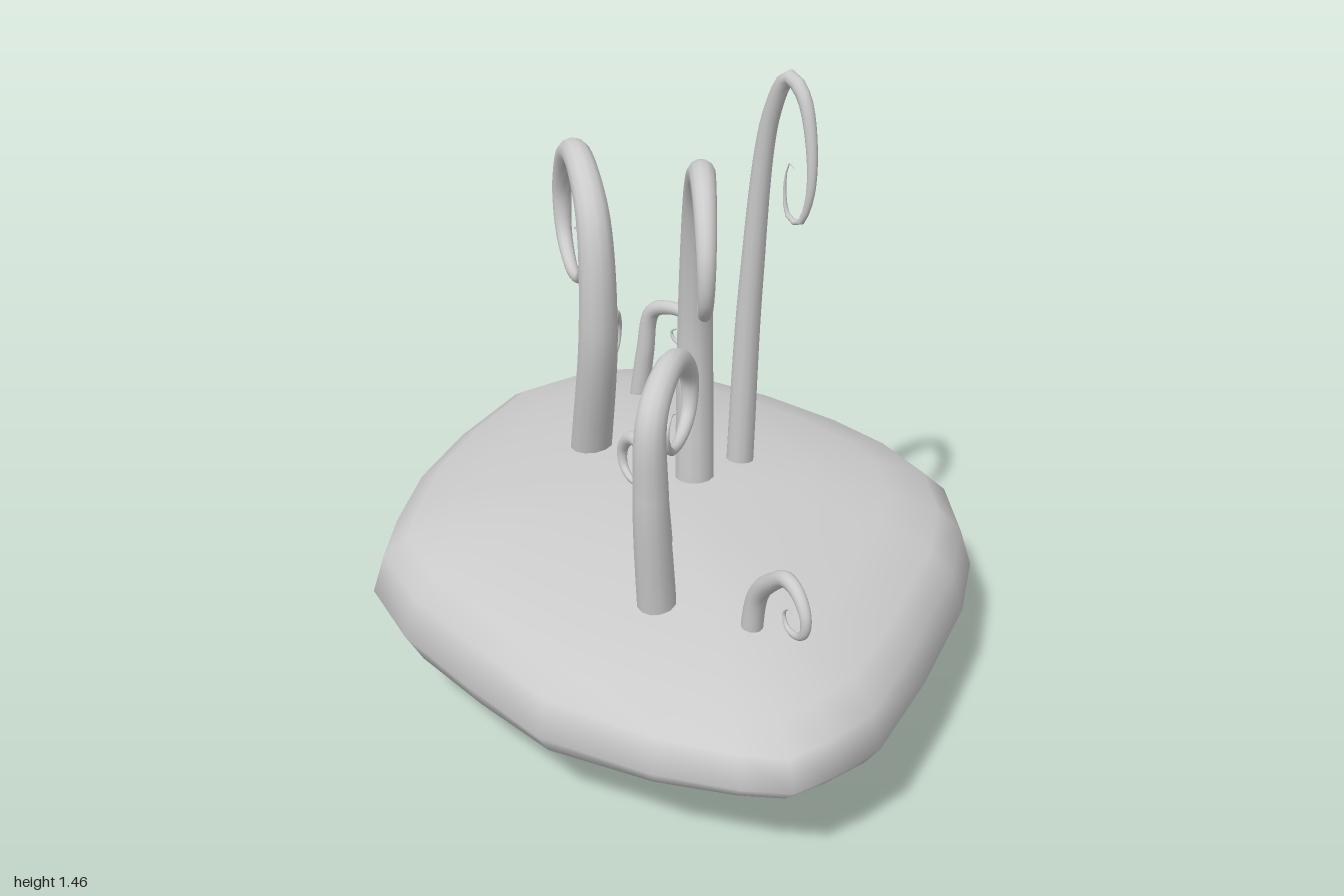
import * as THREE from 'three';

const material = new THREE.MeshStandardMaterial({ color: 0xcccccc, side: THREE.DoubleSide });

// Plan outline of the cushion-like base, as [x, z], clockwise from the back
const outline = [
  [-0.04, -1], [0.1, -0.98], [0.24, -0.9], [0.45, -0.66], [0.6, -0.43], [0.69, -0.24],
  [0.74, -0.03], [0.7, 0.19], [0.6, 0.39], [0.4, 0.67], [0.22, 0.89], [0.1, 0.96],
  [0, 1], [-0.1, 0.96], [-0.26, 0.86], [-0.46, 0.67], [-0.58, 0.43], [-0.69, 0.19],
  [-0.74, -0.03], [-0.69, -0.2], [-0.6, -0.43], [-0.46, -0.66], [-0.27, -0.9],
];

// Rings from top centre over the rim to bottom centre:
// [scale, height at the sides, height at the front and back, tilt along x]
const rings = [
  [0, 0.45, 0.45, 0.02], [0.2, 0.45, 0.45, 0.02], [0.45, 0.432, 0.435, 0.02],
  [0.7, 0.405, 0.39, 0.02], [0.88, 0.358, 0.345, 0.01], [0.96, 0.31, 0.3, 0],
  [1, 0.215, 0.245, 0], [0.94, 0.12, 0.19, -0.03], [0.84, 0.085, 0.13, -0.04],
  [0.53, 0.03, 0.045, -0.06], [0.25, 0.022, 0.025, -0.05], [0, 0.02, 0.02, 0],
];

function baseGeometry() {
  const positions = [], index = [], n = outline.length;
  for (const [s, ySide, yEnd, tilt] of rings) {
    for (const [x, z] of outline) {
      const y = THREE.MathUtils.lerp(ySide, yEnd, z * z) + tilt * x * s;
      positions.push(x * s, y, z * s);
    }
  }
  for (let i = 0; i < rings.length - 1; i++) {
    for (let j = 0; j < n; j++) {
      const a = i * n + j, b = i * n + (j + 1) % n;
      const c = a + n, d = b + n;
      if (i > 0) index.push(a, b, c);
      if (i < rings.length - 2) index.push(b, d, c);
      else index.push(a, b, c);
      if (i === 0) index.push(b, d, c);
    }
  }
  const geometry = new THREE.BufferGeometry();
  geometry.setAttribute('position', new THREE.Float32BufferAttribute(positions, 3));
  geometry.setIndex(index);
  geometry.computeVertexNormals();
  return geometry;
}

// Spiral of a curled tip around its centre; +u is the stem side, top is at 1
const curl = [
  [1.09, 0.52], [0.33, 1], [-0.27, 0.85], [-0.7, 0.27], [-0.64, -0.3], [-0.21, -0.6],
  [0.27, -0.55], [0.42, -0.18], [0.21, 0.06], [0, 0],
];

// Each tendril lies in an upright plane: x = x0 + slope * (z - root z).
// root, mid and centre are [z, y]; size is the curl's [z, y] radius; dir is where it curls
const tendrils = [
  { name: 'largeFrontTendril', root: [0.005, 0.4], mid: [0.01, 0.88], centre: [0.305, 1.12], size: [0.177, 0.177], dir: 1, x0: 0.045, slope: -0.2, r: 0.048 },
  { name: 'largeBackTendril', root: [-0.26, 0.39], mid: [-0.14, 0.8], centre: [-0.4, 0.96], size: [0.204, 0.204], dir: -1, x0: -0.16, slope: 0.02, r: 0.053 },
  { name: 'tallTendril', root: [-0.06, 0.4], mid: [-0.03, 0.92], centre: [0.1, 1.24], size: [0.07, 0.205], dir: 1, x0: 0.175, slope: 0.46, r: 0.034 },
  { name: 'mediumTendril', root: [0.485, 0.38], mid: [0.52, 0.69], centre: [0.37, 0.8], size: [0.129, 0.129], dir: -1, x0: -0.16, slope: -0.6, r: 0.044 },
  { name: 'smallFrontTendril', root: [0.612, 0.36], mid: [0.64, 0.49], centre: [0.77, 0.515], size: [0.07, 0.07], dir: 1, x0: 0.015, slope: 0.27, r: 0.025 },
  { name: 'smallRightTendril', root: [0.285, 0.39], mid: [0.265, 0.55], centre: [0.165, 0.58], size: [0.07, 0.07], dir: -1, x0: -0.1, slope: 0.33, r: 0.026 },
  { name: 'smallLeftTendril', root: [-0.57, 0.34], mid: [-0.545, 0.54], centre: [-0.435, 0.635], size: [0.08, 0.058], dir: 1, x0: 0.03, slope: 0.7, r: 0.028 },
  { name: 'smallBackTendril', root: [-0.682, 0.33], mid: [-0.7, 0.46], centre: [-0.795, 0.477], size: [0.07, 0.075], dir: -1, x0: -0.03, slope: -0.4, r: 0.024 },
];

function tendrilGeometry({ root, mid, centre, size, dir, x0, slope, r }) {
  const profile = [root, mid];
  for (const [u, v] of curl) {
    profile.push([centre[0] - dir * u * size[0], centre[1] + v * size[1]]);
  }
  const path = new THREE.CatmullRomCurve3(
    profile.map(([z, y]) => new THREE.Vector3(x0 + slope * (z - root[0]), y, z)));

  // Tube of unit radius, then tapered from root to tip
  const segments = 64, sides = 12;
  const geometry = new THREE.TubeGeometry(path, segments, 1, sides, false);
  const position = geometry.attributes.position, v = new THREE.Vector3();
  for (let i = 0; i <= segments; i++) {
    const t = i / segments, p = path.getPointAt(t);
    const radius = r * Math.max(0.02, Math.pow(1 - Math.pow(t, 1.6), 0.9));
    for (let j = 0; j <= sides; j++) {
      const k = i * (sides + 1) + j;
      v.fromBufferAttribute(position, k).sub(p).multiplyScalar(radius).add(p);
      position.setXYZ(k, v.x, v.y, v.z);
    }
  }
  return geometry;
}

export function createModel() {
  const model = new THREE.Group();
  model.name = 'curledTendrilsOnBase';
  const add = (name, geometry) => {
    const mesh = new THREE.Mesh(geometry, material);
    mesh.name = name;
    model.add(mesh);
  };
  add('base', baseGeometry());
  for (const tendril of tendrils) add(tendril.name, tendrilGeometry(tendril));
  return model;
}
